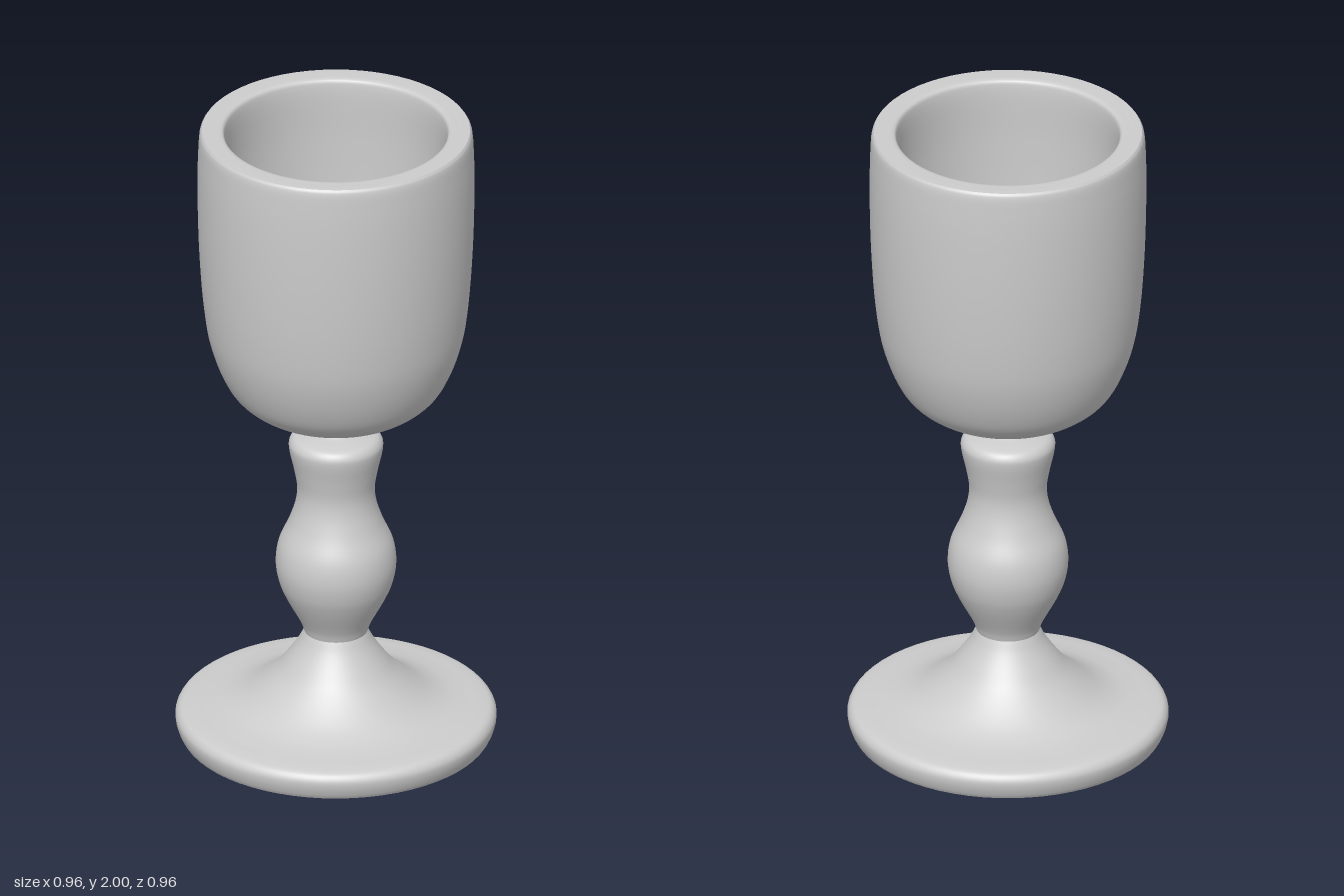
import * as THREE from 'three';

const SEGMENTS = 64;

// Turn a smooth curve through [radius, height] pairs around the y axis
function turned(name, pairs, samples, material) {
  const curve = new THREE.CatmullRomCurve3(
    pairs.map(([r, y]) => new THREE.Vector3(r, y, 0)), false, 'centripetal');
  const profile = curve.getPoints(samples).map(p => new THREE.Vector2(Math.max(p.x, 0), p.y));
  const mesh = new THREE.Mesh(new THREE.LatheGeometry(profile, SEGMENTS), material);
  mesh.name = name;
  return mesh;
}

export function createModel() {
  const group = new THREE.Group();
  group.name = 'goblet';
  const grey = new THREE.MeshStandardMaterial({ color: 0xcccccc });
  grey.name = 'light grey';

  // Flat underside
  const underside = new THREE.Mesh(new THREE.CircleGeometry(0.462, SEGMENTS), grey);
  underside.rotation.x = Math.PI / 2;
  underside.name = 'underside';
  group.add(underside);

  // Rounded foot rim sweeping up to the narrow ankle
  group.add(turned('foot', [
    [0.462, 0], [0.469, 0.012], [0.478, 0.04], [0.478, 0.062], [0.465, 0.08],
    [0.435, 0.088], [0.385, 0.094], [0.325, 0.106], [0.265, 0.134], [0.185, 0.2],
    [0.145, 0.25], [0.112, 0.3], [0.095, 0.335],
  ], 60, grey));

  // Baluster stem with a flared collar and a thin neck
  group.add(turned('stem', [
    [0.095, 0.335], [0.104, 0.362], [0.15, 0.45], [0.17, 0.5], [0.18, 0.56],
    [0.172, 0.625], [0.14, 0.7], [0.121, 0.76], [0.116, 0.81], [0.125, 0.87],
    [0.14, 0.94], [0.14, 0.962], [0.128, 0.98], [0.1, 0.99], [0.06, 1.0], [0.05, 1.013],
  ], 80, grey));

  // Outer wall of the cup
  group.add(turned('cupOutside', [
    [0.05, 1.013], [0.065, 1.028], [0.12, 1.048], [0.19, 1.07], [0.255, 1.1], [0.308, 1.145],
    [0.345, 1.21], [0.378, 1.31], [0.395, 1.42], [0.408, 1.6], [0.413, 1.8],
    [0.411, 1.93], [0.406, 1.99], [0.4, 2.0],
  ], 80, grey));

  // Rim and hollow inside, running down to a small dimple
  group.add(turned('cupInside', [
    [0.4, 2.0], [0.37, 2.0], [0.34, 1.997], [0.333, 1.985], [0.333, 1.8], [0.33, 1.6],
    [0.32, 1.42], [0.3, 1.3], [0.27, 1.225], [0.22, 1.175], [0.15, 1.14],
    [0.08, 1.115], [0.03, 1.098], [0.012, 1.085], [0, 1.08],
  ], 80, grey));

  return group;
}
